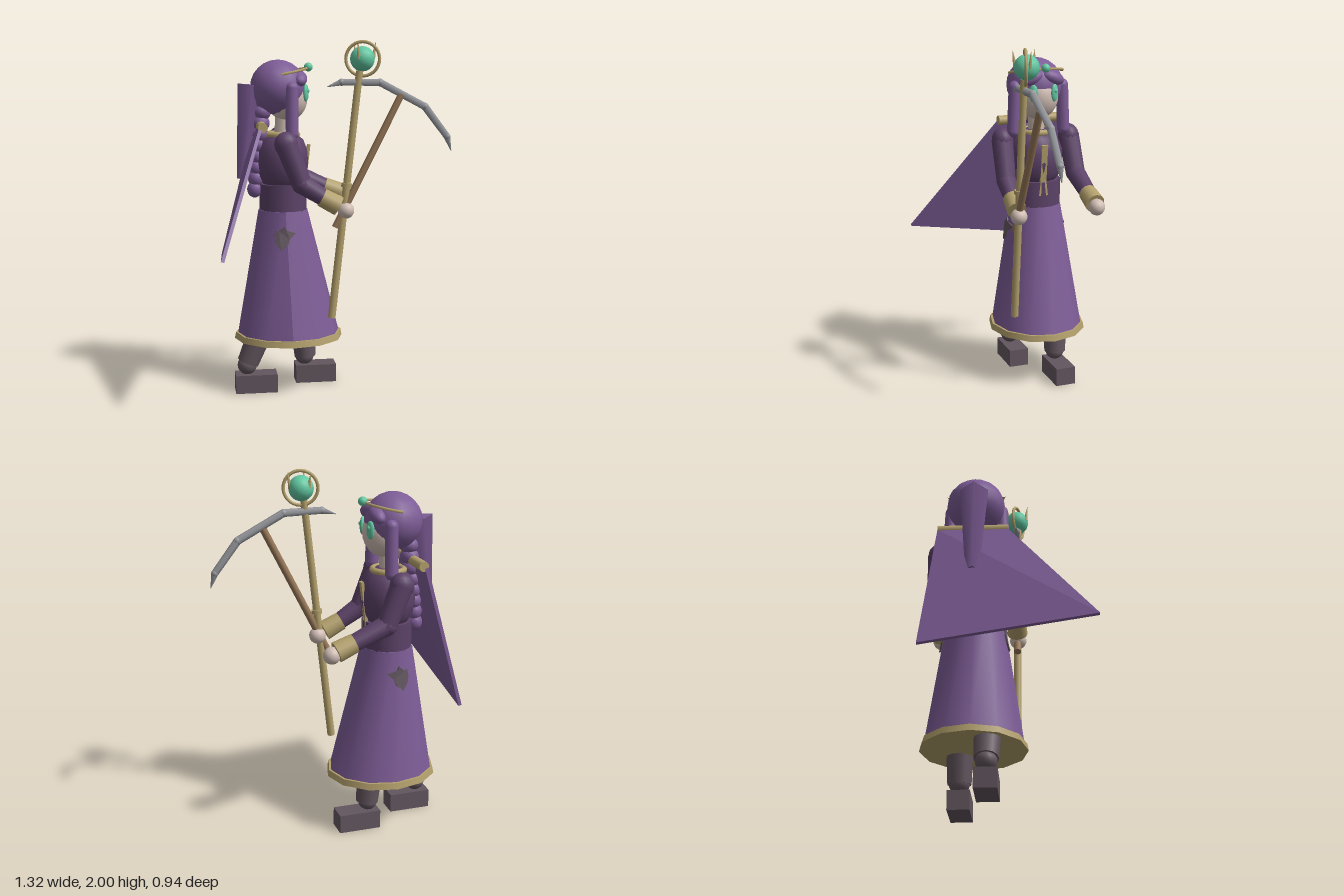
import * as THREE from 'three';
import { ConvexGeometry } from 'three/addons/geometries/ConvexGeometry.js';

const mat = (name, color) => new THREE.MeshStandardMaterial({ name, color });
const V = (x, y, z) => new THREE.Vector3(x, y, z);
const CZ = -0.19; // the figure's own centre line

export function createModel() {
  const root = new THREE.Group();
  const purple = mat('purple', 0x7d5c96), dark = mat('dark purple', 0x5c4268);
  const gold = mat('gold', 0xb3a06c), skin = mat('skin', 0xd0bdb4);
  const green = mat('jade green', 0x62c8a2), steel = mat('steel', 0x95979c);
  const wood = mat('wood', 0x967758), boot = mat('boot grey', 0x63565f);
  boot.side = THREE.DoubleSide;

  const add = (name, geo, m, x = 0, y = 0, z = 0) => {
    const mesh = new THREE.Mesh(geo, m);
    mesh.name = name;
    mesh.position.set(x, y, z);
    root.add(mesh);
    return mesh;
  };
  const ball = (name, m, x, y, z, rx, ry = rx, rz = rx) => {
    const b = add(name, new THREE.SphereGeometry(1, 16, 12), m, x, y, z);
    b.scale.set(rx, ry, rz);
    return b;
  };
  // Tapered rod from point a to point b
  const rod = (name, m, a, b, ra, rb = ra, sides = 12) => {
    const d = b.clone().sub(a);
    const mesh = add(name, new THREE.CylinderGeometry(rb, ra, d.length(), sides), m);
    mesh.position.copy(a).addScaledVector(d, 0.5);
    mesh.quaternion.setFromUnitVectors(V(0, 1, 0), d.normalize());
    return mesh;
  };

  // Legs and boots, mid-stride
  for (const [z, bx, knee, ankle] of [
    [-0.105, -0.445, V(-0.38, 0.44, -0.105), V(-0.49, 0.17, -0.105)],
    [-0.265, -0.082, V(-0.17, 0.44, -0.265), V(-0.14, 0.15, -0.265)],
  ]) {
    add('boot', new THREE.BoxGeometry(0.238, 0.105, 0.118), boot, bx, 0.0525, z);
    rod('leg', boot, ankle, knee, 0.063, 0.076);
    ball('ankle', boot, ankle.x - 0.005, 0.155, z, 0.056);
  }

  // Skirt: oval cone leaning slightly, with a hem
  const skirt = new THREE.CylinderGeometry(1, 1, 0.715, 12);
  const p = skirt.attributes.position;
  for (let i = 0; i < p.count; i++) {
    const top = p.getY(i) > 0;
    p.setX(i, p.getX(i) * (top ? 0.14 : 0.2925) + (top ? -0.275 : -0.2475));
    p.setZ(i, p.getZ(i) * (top ? 0.152 : 0.262));
  }
  skirt.computeVertexNormals();
  add('skirt', skirt, purple, 0, 0.6875, CZ + 0.005);
  add('hem', new THREE.CylinderGeometry(0.305, 0.3125, 0.035, 12), gold, -0.2475, 0.3125, CZ + 0.005)
    .scale.z = 0.905;

  // Patches on both sides of the skirt
  const patch = new THREE.Shape([[-0.05, 0.045], [-0.03, 0.04], [0, 0.068], [0.012, 0.045], [0.066, 0.027],
    [0.03, -0.005], [0.022, -0.035], [0, -0.05], [-0.02, -0.07], [-0.048, -0.03], [-0.055, 0.01]]
    .map(([x, y]) => new THREE.Vector2(x, y)));
  for (const s of [1, -1]) {
    const g = new THREE.ExtrudeGeometry(patch, { depth: 0.008, bevelEnabled: false });
    const q = g.attributes.position;
    for (let i = 0; i < q.count; i++) q.setZ(i, s * (q.getZ(i) - Math.abs(q.getX(i)) * 0.22 - q.getY(i) * 0.154));
    g.computeVertexNormals();
    add('skirtPatch', g, boot, -0.285, 0.9, CZ + 0.005 + s * 0.174);
  }

  // Body
  add('waist', new THREE.CylinderGeometry(0.135, 0.135, 0.15, 16), dark, -0.273, 1.117, CZ + 0.005).scale.z = 1.09;
  const profile = [[0, 1.17], [0.115, 1.18], [0.148, 1.23], [0.16, 1.3], [0.157, 1.37], [0.13, 1.44], [0.075, 1.48], [0, 1.49]];
  add('chest', new THREE.LatheGeometry(profile.map(([r, y]) => new THREE.Vector2(r, y)), 16), dark, -0.275, 0, CZ + 0.005)
    .scale.x = 0.92;
  rod('neck', skin, V(-0.275, 1.45, CZ), V(-0.265, 1.6, CZ), 0.047);
  add('collar', new THREE.TorusGeometry(0.085, 0.018, 8, 20), gold, -0.275, 1.47, CZ).rotation.x = Math.PI / 2;

  // Chest ribbon with two tails
  const ribbon = add('ribbon', new THREE.BoxGeometry(0.016, 0.225, 0.036), gold, -0.138, 1.3, CZ + 0.003);
  ribbon.rotation.z = -0.12;
  for (const s of [1, -1]) {
    const tail = add('ribbonTail', new THREE.BoxGeometry(0.012, 0.09, 0.012), gold, -0.146, 1.16, CZ + 0.003 + s * 0.016);
    tail.rotation.x = -s * 0.12;
  }

  // Arms
  for (const [sh, el, c0, c1, hand] of [
    [V(-0.275, 1.43, 0.015), V(-0.19, 1.21, 0.022), V(-0.08, 1.135, 0.028), V(0.015, 1.085, 0.033), V(0.055, 1.06, 0.035)],
    [V(-0.275, 1.43, -0.393), V(-0.19, 1.225, -0.405), V(-0.01, 1.145, -0.405), V(0.09, 1.105, -0.408), V(0.115, 1.09, -0.408)],
  ]) {
    ball('shoulder', dark, sh.x, sh.y, sh.z, 0.066, 0.07, 0.06);
    rod('upperArm', dark, sh, el, 0.063, 0.056);
    ball('elbow', dark, el.x, el.y, el.z, 0.057);
    rod('forearm', dark, el, c0.clone().lerp(c1, 0.3), 0.056, 0.046);
    rod('cuff', gold, c0, c1, 0.052, 0.057);
    ball('hand', skin, hand.x, hand.y, hand.z, 0.047);
  }

  // Head and face
  ball('head', skin, -0.247, 1.675, CZ, 0.117, 0.132, 0.117);
  for (const s of [1, -1]) {
    const eye = ball('eye', green, -0.147, 1.705, CZ + s * 0.063, 0.014, 0.05, 0.026);
    eye.rotation.y = -s * 0.5;
    ball('pupil', green, -0.136, 1.717, CZ + s * 0.064, 0.009, 0.013, 0.012);
  }

  // Hair: cap, fringe, side locks, braid and the long tail behind
  ball('hairCap', purple, -0.298, 1.735, CZ, 0.157, 0.155, 0.163);
  for (const s of [1, -1]) {
    const fringe = ball('fringe', purple, -0.185, 1.787, CZ + s * 0.062, 0.045, 0.04, 0.075);
    fringe.rotation.x = s * 0.35;
    const lock = add('sideLock', new THREE.CapsuleGeometry(0.036, 0.25, 5, 12), purple, -0.235, 1.61, CZ + s * 0.148);
    lock.rotation.x = -s * 0.04;
  }
  for (let i = 0; i < 9; i++) {
    const t = i / 8;
    ball('braid', purple, -0.385 - 0.05 * t, 1.66 - 0.5 * t, CZ, 0.055 - 0.012 * t, 0.048, 0.058 - 0.013 * t);
  }
  rod('hairTail', purple, V(-0.497, 1.22, CZ), V(-0.447, 1.75, CZ), 0.038, 0.078, 4);

  // Circlet with a gem
  const circlet = add('circlet', new THREE.TorusGeometry(0.157, 0.008, 6, 24, Math.PI), gold, -0.29, 1.81, CZ);
  circlet.rotation.set(Math.PI / 2, 0, -Math.PI / 2, 'YXZ');
  circlet.rotateOnWorldAxis(V(0, 0, 1), 0.2);
  ball('circletGem', green, -0.125, 1.848, CZ, 0.025);

  // Cape hanging from a bar
  rod('capeBar', gold, V(-0.4, 1.52, -0.39), V(-0.4, 1.52, -0.003), 0.028);
  const corners = [V(-0.405, 1.51, -0.005), V(-0.405, 1.51, -0.39), V(-0.597, 0.74, -0.457), V(-0.645, 0.865, 0.468)];
  const back = V(-0.018, 0.005, 0);
  add('cape', new ConvexGeometry([...corners, ...corners.map((c) => c.clone().add(back))]), purple);

  // Staff with a ringed orb
  const sz = 0.033;
  rod('staff', gold, V(-0.025, 0.45, sz), V(0.13, 1.83, sz), 0.022, 0.02);
  rod('staffBand', gold, V(0.058, 1.19, sz), V(0.06, 1.212, sz), 0.03);
  ball('orb', green, 0.147, 1.895, 0.025, 0.069);
  add('orbRing', new THREE.TorusGeometry(0.093, 0.009, 8, 28), gold, 0.147, 1.895, sz).rotation.y = -0.3;
  for (let i = 0; i < 3; i++) {
    const a = i * Math.PI * 2 / 3, c = Math.cos(a), s = Math.sin(a);
    rod('prong', gold, V(0.147 + c * 0.058, 1.895, 0.028 + s * 0.058), V(0.147 + c * 0.073, 1.985, 0.028 + s * 0.073), 0.013, 0.001, 6);
  }

  // Pickaxe: wooden handle and a bent steel head
  rod('pickHandle', wood, V(-0.005, 0.965, sz), V(0.365, 1.7, sz), 0.02);
  const bend = [[-0.05, 1.743, 0.002], [0.03, 1.768, 0.02], [0.245, 1.766, 0.022], [0.5, 1.632, 0.022], [0.628, 1.465, 0.02], [0.653, 1.385, 0.002]];
  for (let i = 0; i + 1 < bend.length; i++) {
    const [x0, y0, r0] = bend[i], [x1, y1, r1] = bend[i + 1];
    rod('pickHead', steel, V(x0, y0, 0.028), V(x1, y1, 0.028), r0, r1, 6);
    if (i) ball('pickJoint', steel, x0, y0, 0.028, r0);
  }
  return root;
}
